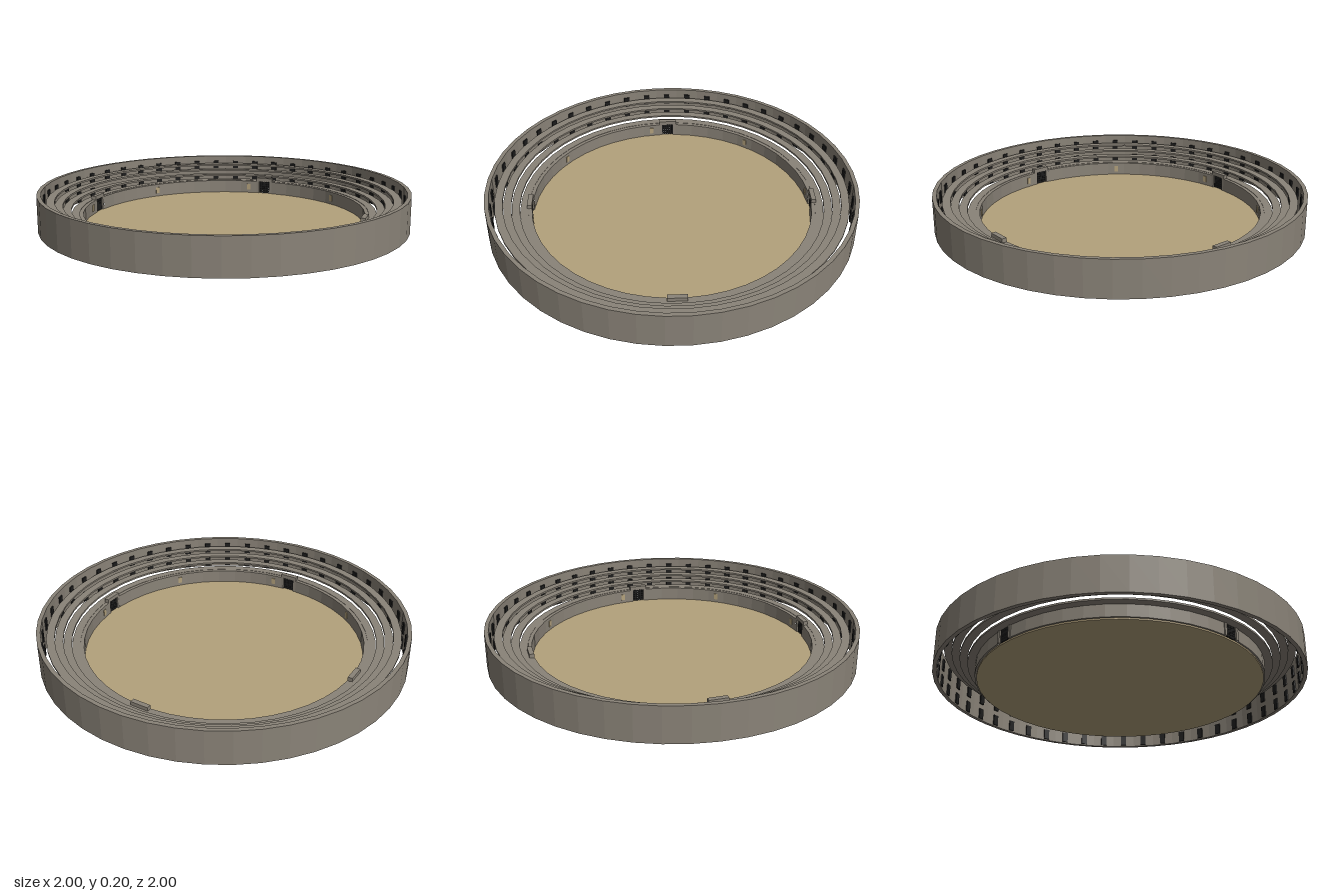
import * as THREE from 'three';

const SEGMENTS = 48;
const STEP = (Math.PI * 2) / SEGMENTS;
const FLAT = Math.cos(STEP / 2); // radius of a flat side relative to its corners

const material = (name, color) => {
  const m = new THREE.MeshStandardMaterial({ color });
  m.name = name;
  return m;
};

// Faceted ring (or arc of a ring) with a rectangular section
function ringGeometry(inner, outer, bottom, top, start = 0, count = SEGMENTS) {
  const profile = [
    [outer, bottom], [outer, top], [inner, top], [inner, bottom], [outer, bottom],
  ].map(([r, y]) => new THREE.Vector2(r, y));
  const g = new THREE.LatheGeometry(profile, count, start * STEP, count * STEP).toNonIndexed();
  g.computeVertexNormals();
  return g;
}

export function createModel() {
  const model = new THREE.Group();
  model.name = 'arena';
  const stone = material('stone', 0x8a8378);
  const sand = material('sand', 0xb3a17c);
  const dark = material('dark', 0x1c1c1c);

  const add = (parent, name, geometry, mat) => {
    const mesh = new THREE.Mesh(geometry, mat);
    mesh.name = name;
    parent.add(mesh);
    return mesh;
  };
  const box = (parent, name, mat, w, h, d, x, y, z) => {
    const mesh = add(parent, name, new THREE.BoxGeometry(w, h, d), mat);
    mesh.position.set(x, y, z);
    return mesh;
  };
  // Group turned to the middle of one wall segment, with +z pointing outward
  const segmentGroup = (name, index) => {
    const group = new THREE.Group();
    group.name = name;
    group.rotation.y = (index + 0.5) * STEP;
    model.add(group);
    return group;
  };

  // Sand floor
  const floor = add(model, 'floor', new THREE.CylinderGeometry(0.77, 0.77, 0.01, SEGMENTS), sand);
  floor.position.y = 0.005;

  // Outer wall
  add(model, 'outerWall', ringGeometry(0.978, 1, 0.01, 0.203), stone);

  // Floating seating tiers, rising outward
  for (let i = 0; i < 4; i++) {
    const inner = 0.78 + i * 0.043;
    const top = 0.085 + i * 0.025;
    add(model, 'seatingTier', ringGeometry(inner, inner + 0.043, top - 0.01, top), stone);
  }

  // Two rows of dark openings on the inside of the outer wall
  for (let i = 0; i < SEGMENTS; i++) {
    const bay = segmentGroup('windowBay', i);
    for (const y of [0.047, 0.14]) {
      box(bay, 'window', dark, 0.033, 0.062, 0.008, 0, y, 0.978 * FLAT - 0.003);
    }
  }

  for (let q = 0; q < 4; q++) {
    const first = q * 12;

    // Arena wall between two gates
    add(model, 'arenaWall', ringGeometry(0.76, 0.78, 0.008, 0.083, first + 1, 11), stone);

    // Gate with posts, lintel and a barred grille
    const gate = segmentGroup('gate', first);
    box(gate, 'lintel', stone, 0.1, 0.022, 0.026, 0, 0.094, 0.772);
    for (const side of [-1, 1]) {
      box(gate, 'gatePost', stone, 0.016, 0.075, 0.024, side * 0.042, 0.0455, 0.771);
    }
    for (let i = 0; i < 6; i++) {
      box(gate, 'grilleBar', dark, 0.009, 0.074, 0.008, -0.03 + i * 0.012, 0.046, 0.771);
    }
    for (let i = 0; i < 5; i++) {
      box(gate, 'grilleRail', dark, 0.068, 0.008, 0.007, 0, 0.017 + i * 0.014, 0.771);
    }

    // Small sand-coloured hatches on the arena wall
    for (const offset of [7, 1]) {
      const hatch = segmentGroup('hatchBay', first + offset);
      box(hatch, 'hatch', sand, 0.022, 0.036, 0.006, 0, 0.047, 0.76 * FLAT - 0.001);
    }
  }

  return model;
}
